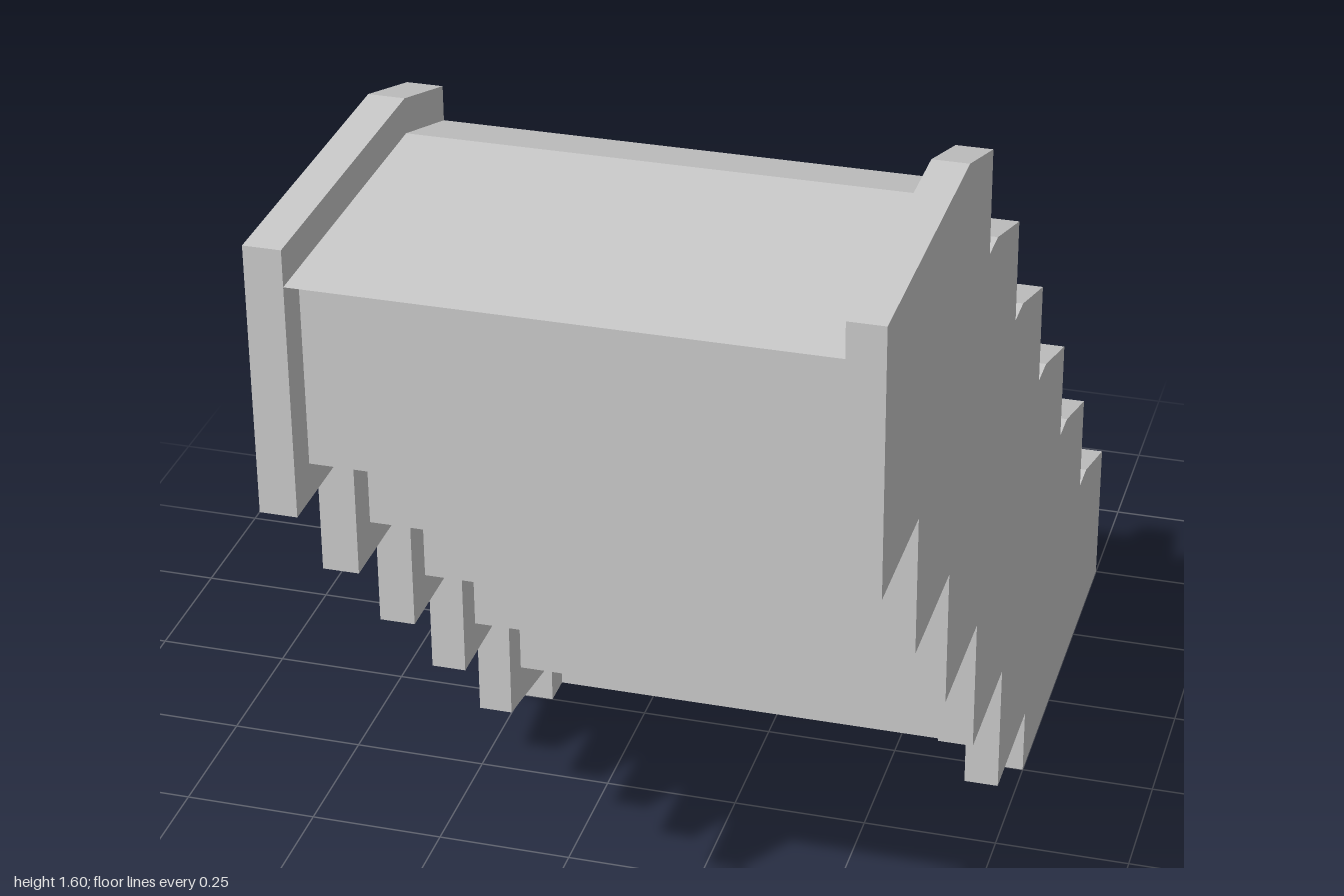
import * as THREE from 'three';

const STEPS = 6, RUN = 0.25, RISE = 0.25;
const HALF = 0.5, WALL = 0.0625;

// Upper stepped edge, from the lowest nosing up to the landing: [z, y]
function topEdge(drop) {
  const pts = [];
  for (let i = 0; i < STEPS; i++) {
    const z = -1 + i * RUN, y = i * RISE - drop;
    const last = i === STEPS - 1;
    pts.push([z, y + 0.285], [z + 0.185, y + 0.345], [last ? 1 : z + RUN, y + 0.345]);
  }
  return pts;
}

// Lower stepped edge, from the landing end down to the ground
function bottomEdge(inset, lowestY) {
  const pts = [];
  for (let i = 0; i < 5; i++) {
    const z = 1 - i * RUN - inset, y = 1.128 - i * RISE + inset;
    pts.push([z, y], [z - RUN, i === 4 ? lowestY : y]);
  }
  pts.push([-0.25 - inset, 0], [-1, 0]);
  return pts;
}

// Extrudes a (z, y) profile across x, from x0 to x1
function slab(name, profile, x0, x1, material) {
  const shape = new THREE.Shape(profile.map(([z, y]) => new THREE.Vector2(z, y)));
  const geometry = new THREE.ExtrudeGeometry(shape, { depth: x1 - x0, bevelEnabled: false });
  geometry.rotateY(-Math.PI / 2).translate(x1, 0, 0);
  const mesh = new THREE.Mesh(geometry, material);
  mesh.name = name;
  return mesh;
}

export function createModel() {
  const group = new THREE.Group();
  group.name = 'staircase';
  const material = new THREE.MeshStandardMaterial({ color: 0xcccccc, flatShading: true });
  const inner = HALF - WALL;

  // Stepped side walls; the right one has a slanted lowest underside
  const wall = (lowestY) => [...topEdge(0), ...bottomEdge(0, lowestY)];
  group.add(slab('leftWall', wall(0.128), inner, HALF, material));
  group.add(slab('rightWall', wall(0.087), -HALF, -inner, material));

  // Treads, risers and landing, set below the wall tops and recessed underneath,
  // with a slanted lip under the landing's front edge
  const flight = [
    ...topEdge(WALL),
    [1 - WALL, 1.503],
    ...bottomEdge(WALL, 0.128 - 4 * RISE + 1 + WALL),
  ];
  group.add(slab('flight', flight, -inner, inner, material));
  return group;
}
